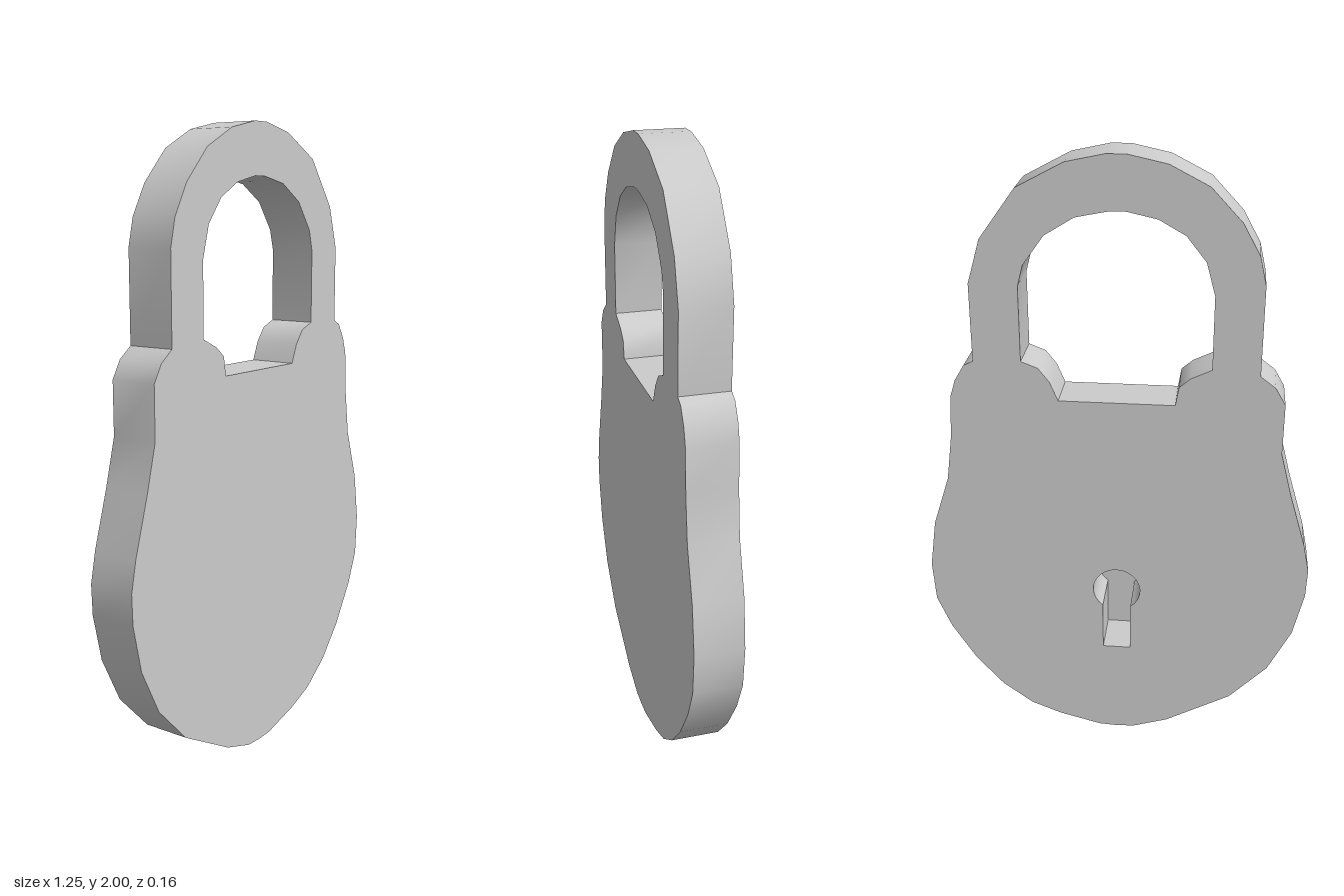
import * as THREE from 'three';
import { toCreasedNormals } from 'three/addons/utils/BufferGeometryUtils.js';

const DEPTH = 0.155;

const toPoints = (pairs) => pairs.map(([x, y]) => new THREE.Vector2(x, y));

// Keyhole profile: round top with a straight slot below
function keyholePoints() {
  const cy = 0.572, r = 0.078, half = 0.046, slotBottom = 0.342;
  const a = Math.asin(half / r), steps = 20;
  const pts = [[-half, slotBottom], [half, slotBottom]];
  for (let i = 0; i <= steps; i++) {
    const t = -Math.PI / 2 + a + (i / steps) * (2 * Math.PI - 2 * a);
    pts.push([r * Math.cos(t), cy + r * Math.sin(t)]);
  }
  return toPoints(pts);
}

export function createModel() {
  const group = new THREE.Group();
  group.name = 'padlock';

  // Hand-cut outer outline, counter-clockwise from the bottom
  const rightBody = [
    [0.06, 0.003], [0.2, 0.04], [0.3, 0.08], [0.4, 0.155], [0.49, 0.26], [0.57, 0.39],
    [0.615, 0.5], [0.623, 0.635], [0.6, 0.795], [0.545, 0.963], [0.525, 1.11],
    [0.517, 1.25], [0.5, 1.305], [0.47, 1.355], [0.44, 1.37],
  ];
  const shackleTop = [
    [0.44, 1.615], [0.4, 1.75], [0.29, 1.9], [0.147, 1.975], [0.03, 2], [-0.03, 2],
    [-0.147, 1.975], [-0.265, 1.915], [-0.36, 1.815], [-0.413, 1.72], [-0.433, 1.635],
  ];
  const leftBody = [
    [-0.433, 1.355], [-0.48, 1.32], [-0.512, 1.265], [-0.512, 1.1], [-0.55, 0.955],
    [-0.603, 0.78], [-0.623, 0.685], [-0.62, 0.59], [-0.587, 0.44], [-0.513, 0.29],
    [-0.39, 0.16], [-0.175, 0.04], [-0.06, 0.003], [0, 0],
  ];

  // Opening between the shackle and the notched shoulders
  const opening = [
    [-0.18, 1.25], [0.18, 1.25], [0.205, 1.31], [0.24, 1.355], [0.292, 1.375],
    [0.292, 1.61], [0.275, 1.675], [0.21, 1.765], [0.12, 1.82], [0.02, 1.84], [-0.03, 1.84],
    [-0.12, 1.82], [-0.2, 1.775], [-0.26, 1.7], [-0.288, 1.6],
    [-0.288, 1.37], [-0.225, 1.34], [-0.19, 1.31],
  ];

  const keyhole = keyholePoints();
  const outline = new THREE.Shape(toPoints([...rightBody, ...shackleTop, ...leftBody]));
  outline.holes.push(new THREE.Path(toPoints(opening)), new THREE.Path(keyhole));

  // Body and shackle, cut from one plate
  const plate = new THREE.ExtrudeGeometry(outline, { depth: DEPTH, bevelEnabled: false });
  plate.translate(0, 0, -DEPTH / 2);
  const body = new THREE.Mesh(
    toCreasedNormals(plate, 0.7),
    new THREE.MeshStandardMaterial({ color: 0xcccccc })
  );
  body.name = 'bodyAndShackle';
  group.add(body);

  // Front skin that closes the keyhole, which opens only at the back
  const floor = new THREE.Mesh(
    new THREE.ShapeGeometry(new THREE.Shape(keyhole)),
    new THREE.MeshStandardMaterial({ color: 0xcccccc, side: THREE.DoubleSide })
  );
  floor.name = 'keyholeFloor';
  floor.position.z = DEPTH / 2;
  group.add(floor);

  return group;
}
